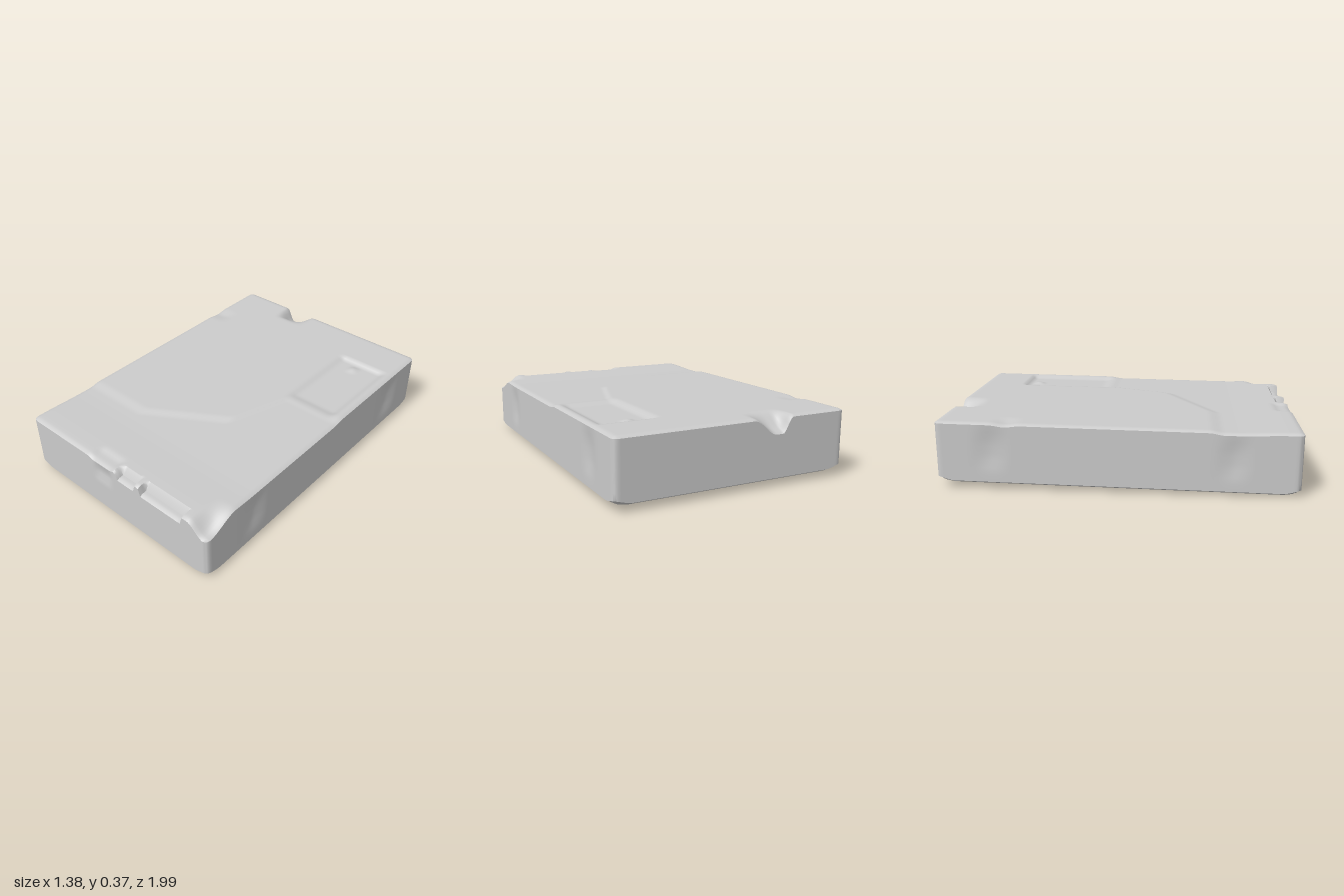
import * as THREE from 'three';
import { toCreasedNormals } from 'three/addons/utils/BufferGeometryUtils.js';

const W = 0.68, L = 0.985, H = 0.35; // half width, half length, height
const ss = THREE.MathUtils.smoothstep;

// 1 inside the range a..b, fading to 0 over a soft border s
const band = (v, a, b, s) => ss(v, a - s, a + s) * (1 - ss(v, b - s, b + s));
const patch = (x, z, x0, x1, z0, z1, s) => band(x, x0, x1, s) * band(z, z0, z1, s);

// Stepped edge of the raised cover plate, as z for a given x
const coverEdge = [[-0.7, 0.52], [-0.25, 0.52], [0.2, 0.25], [0.33, -0.14], [0.7, -0.14]];
function edgeZ(x) {
  for (let i = 1; i < coverEdge.length; i++) {
    const [x0, z0] = coverEdge[i - 1], [x1, z1] = coverEdge[i];
    if (x <= x1) return z0 + (z1 - z0) * Math.max(0, (x - x0) / (x1 - x0));
  }
  return coverEdge[coverEdge.length - 1][1];
}

// Height of the upper face
function topHeight(x, z) {
  const rim = Math.min(W - Math.abs(x), L - Math.abs(z));
  let y = H - 0.01 * (1 - ss(rim, 0, 0.02));
  y -= 0.011 * ss(z - edgeZ(x), -0.03, 0.05) * (1 - ss(z, 0.6, 0.95));            // lower front deck
  y -= 0.02 * band(x, 0.32, 0.62, 0.03) * ss(z, -0.72, -0.69) * (1 - ss(z, -0.2, -0.11)); // side pocket
  y += 0.01 * patch(x, z, 0.42, 0.47, -0.66, -0.61, 0.02);                        // stud in the pocket
  y -= 0.045 * patch(x, z, 0.03, 0.17, 0.93, 1.2, 0.009);                         // connector slots
  y -= 0.05 * patch(x, z, 0.21, 0.51, 0.93, 1.2, 0.009);
  y -= 0.012 * patch(x, z, -0.17, 0.0, 0.9, 1.2, 0.025);                          // tab beside the slots
  const notch = ss(x, -0.34, -0.28) * (1 - ss(x, -0.24, -0.1));
  y -= 0.085 * notch * (1 - ss(z, -0.98, -0.82));                                 // notch in the back edge
  y -= 0.07 * ss(x, 0.55, 0.66) * ss(z, 0.76, 0.96);                              // crushed front corner
  y -= 0.01 * patch(x, z, -0.9, -0.58, -0.64, -0.56, 0.05);                       // edge dip
  return y;
}

// Height of the underside: softened rim, and a bulging panel set in a recess with cut corners
function bottomHeight(x, z) {
  const ex = W - Math.abs(x), ez = L - Math.abs(z);
  const edge = 0.02 * (1 - ss(Math.min(ex, ez), 0, 0.045));
  const corner = 0.02 * (1 - ss(ex, 0, 0.1)) * (1 - ss(ez, 0, 0.1));
  const inside = Math.min(0.58 - Math.abs(x), 0.87 - Math.abs(z),
    (1.25 - Math.abs(x) - Math.abs(z)) * 0.707);
  const panel = 0.03 * ss(inside, 0, 0.03) - 0.015 * ss(inside, 0.04, 0.4);
  return edge + corner + panel;
}

function caseGeometry() {
  const box = new THREE.BoxGeometry(2 * W, 1, 2 * L, 100, 8, 140);
  const p = box.attributes.position;
  const r = 0.03;
  for (let i = 0; i < p.count; i++) {
    let x = p.getX(i), z = p.getZ(i);
    const t = p.getY(i) + 0.5;
    const low = bottomHeight(x, z);
    const y = low + t * (topHeight(x, z) - low);

    // shallow dimples in the walls
    const mid = band(t, 0.3, 0.85, 0.15);
    if (Math.abs(x) > W - 0.001) {
      x -= Math.sign(x) * 0.01 * mid * (band(z, 0.57, 0.68, 0.06) + band(z, -0.74, -0.62, 0.06));
    }
    if (z > L - 0.001) z -= 0.012 * band(x, -0.14, -0.02, 0.03) * band(t, 0.7, 0.9, 0.06);

    // rounded vertical corners
    const cx = Math.abs(x) - (W - r), cz = Math.abs(z) - (L - r);
    if (cx > 0 && cz > 0) {
      const k = Math.max(cx, cz) / Math.hypot(cx, cz);
      x = Math.sign(x) * (W - r + cx * k);
      z = Math.sign(z) * (L - r + cz * k);
    }

    // lies slightly turned and tipped
    p.setXYZ(i, x - 0.012 * z, y + 0.013 * (0.85 - z) + 0.004, z + 0.012 * x);
  }
  box.deleteAttribute('uv');
  return toCreasedNormals(box, 0.9);
}

export function createModel() {
  const group = new THREE.Group();
  group.name = 'driveUnit';
  const material = new THREE.MeshStandardMaterial({ color: 0xcccccc });
  const body = new THREE.Mesh(caseGeometry(), material);
  body.name = 'case';
  group.add(body);
  return group;
}
